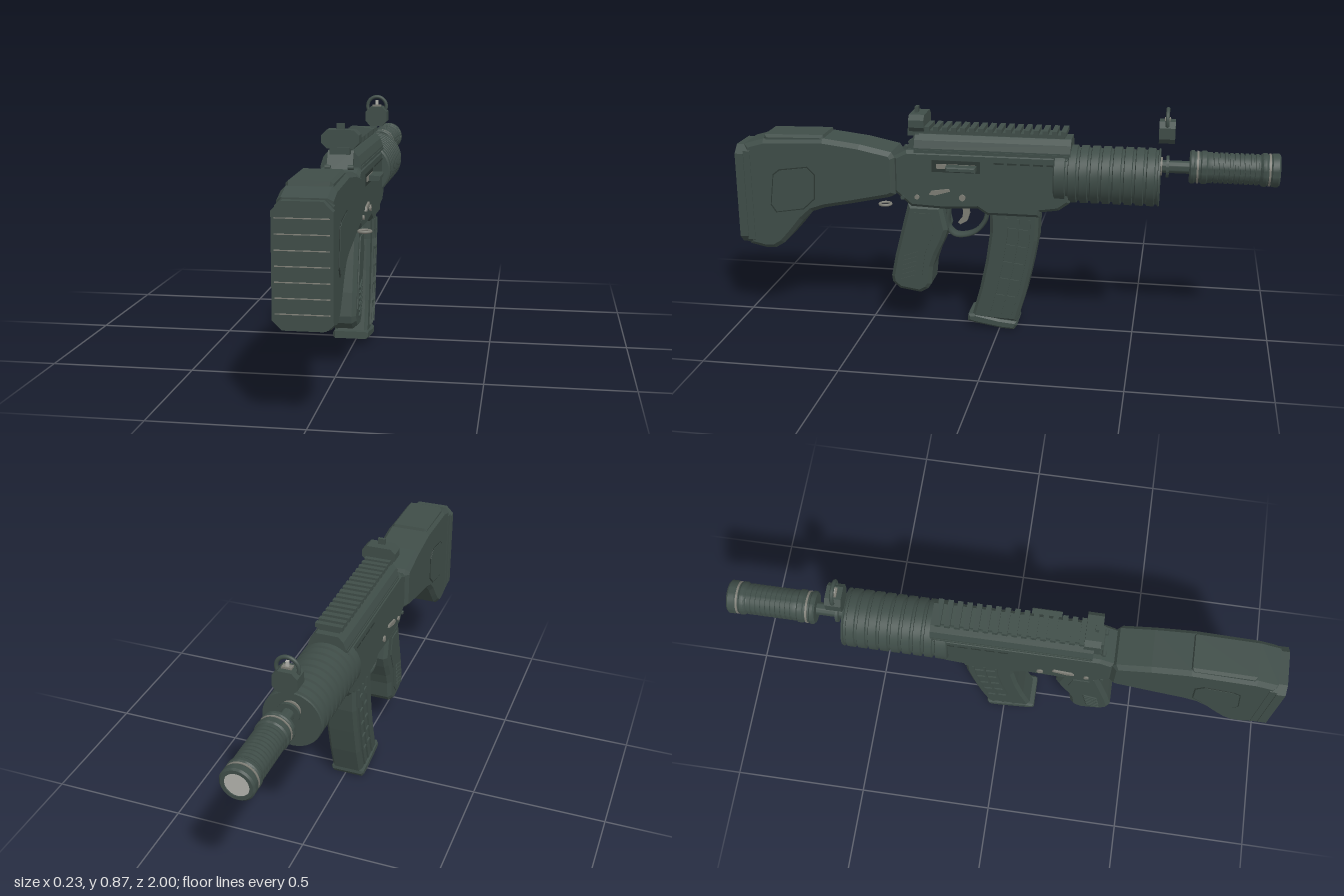
import * as THREE from 'three';
import { toCreasedNormals } from 'three/addons/utils/BufferGeometryUtils.js';

const mat = (name, color, side = THREE.FrontSide) => {
  const m = new THREE.MeshStandardMaterial({ color, side });
  m.name = name;
  return m;
};

export function createModel() {
  const green = mat('dark green', 0x3f4d48);
  const groove = mat('groove dark', 0x2c3733);
  const steel = mat('steel', 0x7d7d75);
  const bore = mat('pale bore', 0xb4b4ae);

  const root = new THREE.Group();
  const gun = new THREE.Group();
  gun.name = 'rifle';
  gun.position.x = -0.009;
  root.add(gun);

  const add = (name, geo, m = green, parent = gun) => {
    const mesh = new THREE.Mesh(geo, m);
    mesh.name = name;
    parent.add(mesh);
    return mesh;
  };
  const shapeOf = (pts) => new THREE.Shape(pts.map((p) => new THREE.Vector2(p[0], p[1])));
  // Side outline of (z, y) points, extruded across x around the given centre
  const side = (name, pts, width, bevel = 0, m = green, x = 0) => {
    const g = new THREE.ExtrudeGeometry(shapeOf(pts), {
      depth: width - 2 * bevel, bevelEnabled: bevel > 0, bevelThickness: bevel,
      bevelSize: bevel, bevelOffset: -bevel, bevelSegments: 1, steps: 1,
    });
    g.translate(0, 0, -(width - 2 * bevel) / 2).rotateY(-Math.PI / 2).translate(x, 0, 0);
    return add(name, g, m);
  };
  // Front outline of (x, y) points, extruded from z0 to z1
  const front = (name, pts, z0, z1, m = green) => {
    const g = new THREE.ExtrudeGeometry(shapeOf(pts), { depth: z1 - z0, bevelEnabled: false });
    return add(name, g.translate(0, 0, z0), m);
  };
  const box = (name, w, h, d, x, y, z, m = green, tilt = 0) =>
    add(name, new THREE.BoxGeometry(w, h, d).rotateX(tilt).translate(x, y, z), m);
  // Turned part: (radius, distance towards the muzzle) points around the line y
  const turned = (name, pts, y, m = green, seg = 40) => {
    const g = new THREE.LatheGeometry(pts.map((p) => new THREE.Vector2(p[0], p[1])), seg);
    const mesh = add(name, toCreasedNormals(g.rotateX(-Math.PI / 2), 0.6), m);
    mesh.position.y = y;
    return mesh;
  };
  const pin = (name, r, x, y, z, len, m = steel) =>
    add(name, new THREE.CylinderGeometry(r, r, len, 14).rotateZ(Math.PI / 2).translate(x, y, z), m);
  const octagon = (w, y0, y1, c) => [
    [-w + c, y0], [w - c, y0], [w, y0 + c], [w, y1 - c], [w - c, y1], [-w + c, y1], [-w, y1 - c], [-w, y0 + c]];

  // Stock, cheek rest and butt pad
  side('stock', [[0.965, 0.69], [0.89, 0.712], [0.66, 0.722], [0.52, 0.705], [0.4, 0.68], [0.388, 0.66],
    [0.388, 0.52], [0.41, 0.508], [0.56, 0.475], [0.66, 0.455], [0.71, 0.437], [0.75, 0.4], [0.79, 0.35],
    [0.83, 0.305], [0.865, 0.283], [0.9, 0.281], [0.965, 0.295]], 0.17, 0.016);
  side('cheekRest', [[0.89, 0.7], [0.885, 0.728], [0.66, 0.733], [0.65, 0.7]], 0.145, 0.01);
  front('buttPad', octagon(0.092, 0.3, 0.685, 0.03), 0.965, 0.997);
  front('buttPadBase', octagon(0.088, 0.292, 0.69, 0.025), 0.94, 0.967);
  for (let i = 0; i < 7; i++) box('buttPadLine', 0.165, 0.003, 0.003, 0, 0.35 + i * 0.0475, 0.9985, steel);
  const panel = [[0.855, 0.58], [0.83, 0.6], [0.72, 0.615], [0.69, 0.585], [0.695, 0.49], [0.74, 0.448],
    [0.85, 0.43], [0.87, 0.46]];
  const panelIn = panel.map(([z, y]) => [0.78 + (z - 0.78) * 0.95, 0.523 + (y - 0.523) * 0.95]);
  for (const s of [-1, 1]) {
    side('stockPanelOutline', panel, 0.004, 0, groove, s * 0.085);
    side('stockPanel', panelIn, 0.006, 0, green, s * 0.0855);
  }
  const sling = add('slingLoop', new THREE.TorusGeometry(0.021, 0.005, 8, 24).rotateX(Math.PI / 2), steel);
  sling.position.set(0.098, 0.49, 0.42);

  // Receiver with the magazine well
  side('receiver', [[0.394, 0.665], [0.345, 0.69], [-0.26, 0.69], [-0.26, 0.515], [-0.22, 0.485], [-0.155, 0.475],
    [-0.15, 0.455], [0.045, 0.455], [0.08, 0.478], [0.2, 0.47], [0.33, 0.475], [0.394, 0.53]], 0.148, 0.012);
  front('upperCover', [[-0.07, 0.66], [0.07, 0.66], [0.07, 0.7], [0.06, 0.728], [0.042, 0.748], [-0.042, 0.748],
    [-0.06, 0.728], [-0.07, 0.7]], -0.26, 0.315);
  side('rearSlope', [[0.36, 0.67], [0.315, 0.748], [0.3, 0.748], [0.3, 0.67]], 0.09);
  box('coverSeamRidge', 0.146, 0.008, 0.56, 0, 0.69, 0.03);

  // Top rail with teeth
  box('railBase', 0.075, 0.018, 0.53, 0, 0.752, 0.03);
  for (let i = 0; i < 16; i++) box('railTooth', 0.1, 0.017, 0.019, 0, 0.768, 0.27 - i * 0.0335);

  // Rear sight
  front('rearSight', octagon(0.065, 0.757, 0.82, 0.018), 0.278, 0.335);
  box('rearSightBase', 0.07, 0.025, 0.07, 0, 0.75, 0.31);
  box('rearSightLeaf', 0.028, 0.03, 0.012, 0, 0.827, 0.315);
  for (const s of [-1, 1]) pin('rearCoverPin', 0.008, s * 0.04, 0.695, 0.352, 0.02, green);

  // Ejection port, charging handle, selector and pins
  box('portFrame', 0.006, 0.044, 0.18, 0.074, 0.637, 0.158, groove);
  box('portBolt', 0.006, 0.018, 0.145, 0.076, 0.637, 0.158, steel);
  side('chargingHandle', [[0.19, 0.626], [0.19, 0.645], [0.08, 0.645], [0.08, 0.626]], 0.045, 0.004, green, 0.095);
  for (const s of [-1, 1]) {
    side('selectorLever', [[0.26, 0.528], [0.25, 0.542], [0.185, 0.552], [0.18, 0.543], [0.235, 0.526]],
      0.008, 0, steel, s * 0.077);
    pin('receiverPin', 0.012, s * 0.074, 0.52, 0.135, 0.012);
    pin('receiverPin', 0.009, s * 0.074, 0.515, 0.305, 0.012);
    pin('receiverPin', 0.008, s * 0.074, 0.51, 0.36, 0.008, green);
    for (let i = 0; i < 5; i++) box('receiverSlot', 0.004, 0.006, 0.035, s * 0.074, 0.655, 0.0 - i * 0.048, groove);
  }

  // Ribbed round handguard
  const hg = [[0, 0.2], [0.1, 0.2], [0.106, 0.205]];
  for (let i = 0; i < 9; i++) {
    const d = 0.215 + i * 0.04;
    hg.push([0.106, d], [0.106, d + 0.026], [0.098, d + 0.029], [0.098, d + 0.037]);
  }
  hg.push([0.106, 0.574], [0.104, 0.58], [0, 0.58]);
  turned('handguard', hg, 0.61);

  // Barrel and suppressor
  turned('barrel', [[0, 0.57], [0.023, 0.57], [0.023, 0.7], [0, 0.7]], 0.652);
  turned('barrelCollar', [[0, 0.6], [0.04, 0.6], [0.04, 0.61], [0, 0.61]], 0.652);
  turned('barrelRing', [[0, 0.578], [0.034, 0.578], [0.034, 0.586], [0, 0.586]], 0.652, steel);
  const sup = [[0, 0.682], [0.054, 0.682], [0.06, 0.688], [0.06, 0.698], [0.056, 0.702], [0.056, 0.722],
    [0.06, 0.726], [0.06, 0.742], [0.055, 0.747]];
  for (let i = 0; i < 10; i++) {
    const d = 0.752 + i * 0.018;
    sup.push([0.056, d], [0.056, d + 0.011], [0.052, d + 0.012], [0.052, d + 0.017]);
  }
  sup.push([0.056, 0.934], [0.06, 0.94], [0.06, 0.952], [0.056, 0.957], [0.056, 0.968], [0.06, 0.973],
    [0.06, 0.994], [0.054, 1], [0.042, 1], [0.042, 0.992], [0, 0.992]);
  turned('suppressor', sup, 0.655);
  for (const d of [0.708, 0.96]) {
    turned('suppressorBand', [[0.05, d], [0.0585, d], [0.0585, d + 0.007], [0.05, d + 0.007]], 0.655, steel);
  }
  turned('muzzleFace', [[0.042, 0.99], [0.042, 0.996], [0, 0.996]], 0.655, bore);

  // Front sight: block, hood ring and post
  front('frontSight', octagon(0.044, 0.743, 0.823, 0.02), -0.627, -0.57);
  const hood = add('frontSightHood', new THREE.TorusGeometry(0.039, 0.007, 10, 36));
  hood.position.set(0, 0.824, -0.598);
  box('frontSightPost', 0.01, 0.03, 0.01, 0, 0.834, -0.598, bore);
  box('frontSightPostBase', 0.035, 0.012, 0.02, 0, 0.824, -0.598, steel);

  // Pistol grip with side ribs
  side('grip', [[0.346, 0.48], [0.217, 0.48], [0.196, 0.385], [0.212, 0.34], [0.24, 0.28], [0.255, 0.235],
    [0.262, 0.165], [0.275, 0.145], [0.305, 0.128], [0.385, 0.14], [0.412, 0.165], [0.416, 0.19],
    [0.4, 0.27], [0.372, 0.38]], 0.132, 0.014);
  const gripPanel = [[0.32, 0.45], [0.26, 0.45], [0.245, 0.38], [0.28, 0.3], [0.295, 0.2], [0.32, 0.165],
    [0.375, 0.175], [0.385, 0.21], [0.365, 0.3]];
  for (const s of [-1, 1]) {
    side('gripPanel', gripPanel, 0.006, 0, green, s * 0.067);
    for (let i = 0; i < 6; i++) {
      box('gripRib', 0.012, 0.009, 0.055, s * 0.069, 0.19 + i * 0.019, 0.348 - i * 0.003, green, 0.35);
    }
  }

  // Trigger guard and trigger
  const guard = new THREE.CatmullRomCurve3([[0.2, 0.46], [0.203, 0.385], [0.175, 0.354], [0.105, 0.365],
    [0.064, 0.41], [0.05, 0.47]].map(([z, y]) => new THREE.Vector3(0, y, z)));
  add('triggerGuard', new THREE.TubeGeometry(guard, 30, 0.009, 8).scale(3, 1, 1));
  side('trigger', [[0.155, 0.48], [0.125, 0.48], [0.122, 0.435], [0.13, 0.41], [0.155, 0.395], [0.165, 0.402],
    [0.147, 0.425], [0.145, 0.45]], 0.025, 0, steel);

  // Curved magazine: front and rear edges run down together
  const rear = [[0.036, 0.48], [0.036, 0.385], [0.052, 0.27], [0.075, 0.16], [0.107, 0.04]];
  const fore = [[-0.147, 0.48], [-0.142, 0.36], [-0.122, 0.25], [-0.098, 0.14], [-0.066, 0.03]];
  side('magazine', [...rear, ...[...fore].reverse()], 0.122, 0.012);
  // Point on the magazine side: u from rear to front, v from top to bottom
  const edge = (pts, v) => {
    const i = Math.min(3, Math.floor(v * 4)), t = v * 4 - i;
    return [0, 1].map((k) => pts[i][k] + (pts[i + 1][k] - pts[i][k]) * t);
  };
  const at = (u, v) => {
    const a = edge(rear, v), b = edge(fore, v);
    return [a[0] + (b[0] - a[0]) * u, a[1] + (b[1] - a[1]) * u];
  };
  const steps = [0.08, 0.25, 0.5, 0.75, 0.95];
  for (const s of [-1, 1]) {
    for (const u of [0.33, 0.57, 0.8]) {
      side('magazineRib', [...steps.map((v) => at(u, v)), ...[...steps].reverse().map((v) => at(u + 0.045, v))],
        0.012, 0, green, s * 0.062);
    }
    for (const v of [0.17, 0.32, 0.47, 0.62, 0.77]) {
      side('magazineCrossRib', [at(0.33, v), at(0.33, v + 0.02), at(0.84, v + 0.02), at(0.84, v)],
        0.009, 0, green, s * 0.062);
    }
  }
  side('magazineFloor', [[0.12, 0.052], [0.122, 0.026], [0.09, 0.018], [-0.01, 0.002], [-0.055, 0.0],
    [-0.068, 0.018], [-0.066, 0.032], [0.0, 0.038], [0.09, 0.055]], 0.13, 0.008);

  return root;
}
